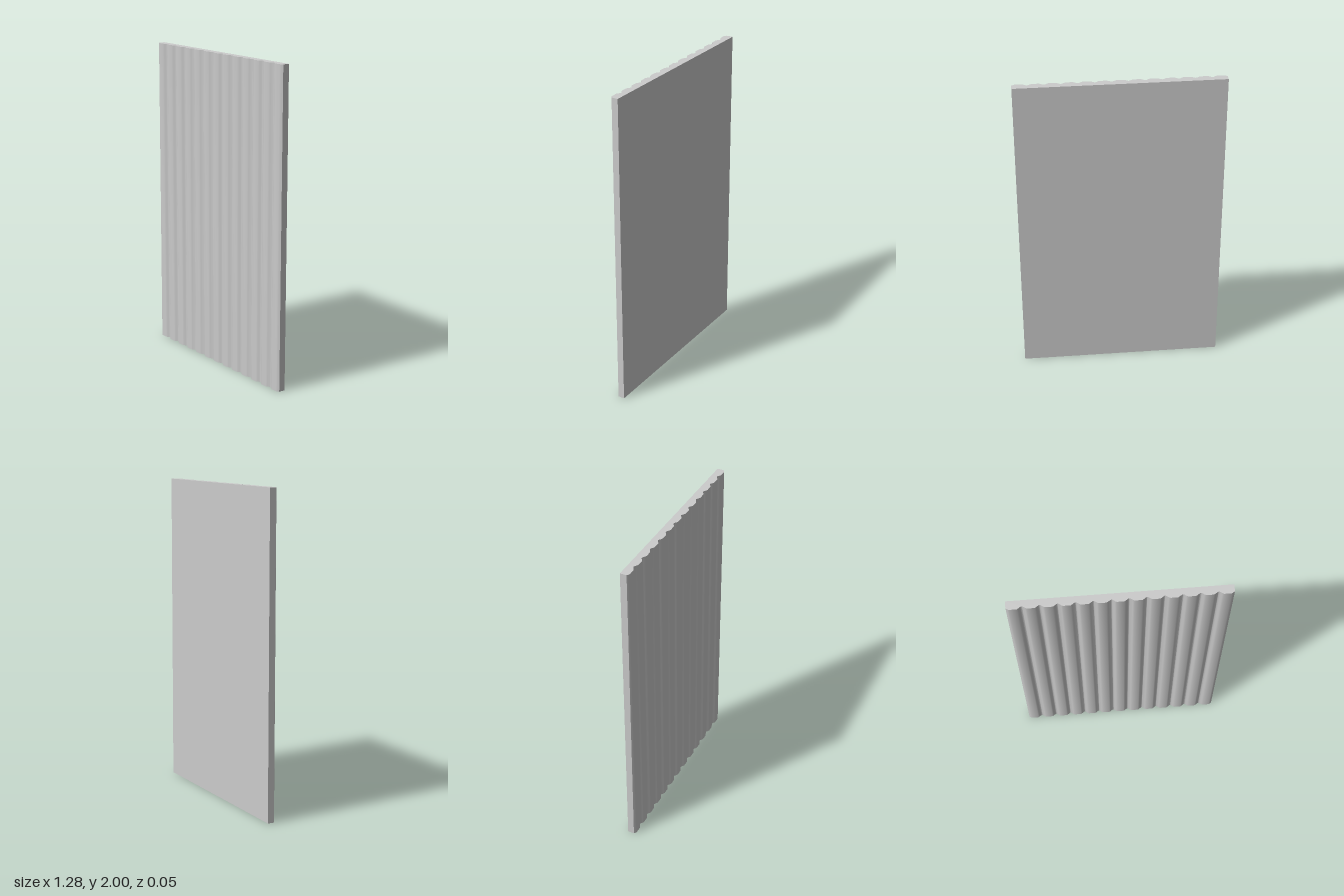
import * as THREE from 'three';
import { toCreasedNormals } from 'three/addons/utils/BufferGeometryUtils.js';

const HALF_WIDTH = 0.64, HEIGHT = 2, BACK = -0.0265, PITCH = 0.1;

// Half of one rib: [distance from the rib centre, z]
const RIB = [[0.022, 0.0265], [0.031, 0.0215], [0.04, 0.015], [0.046, 0.0115], [0.05, 0.0105]];

export function createModel() {
  const group = new THREE.Group();
  group.name = 'ribbedPanel';

  // Front outline from left to right: 13 ribs with shallow grooves between
  const front = [];
  for (let i = -6; i <= 6; i++) {
    const left = i === -6 ? RIB.slice(0, 3) : RIB.slice(0, 4);
    const right = i === 6 ? RIB.slice(0, 3) : RIB;
    for (const [d, z] of [...left].reverse()) front.push([i * PITCH - d, z]);
    for (const [d, z] of right) front.push([i * PITCH + d, z]);
  }

  // Cross-section drawn as (x, -z), then raised along y
  const section = new THREE.Shape([
    new THREE.Vector2(HALF_WIDTH, -BACK),
    new THREE.Vector2(-HALF_WIDTH, -BACK),
    ...front.map(([x, z]) => new THREE.Vector2(x, -z)),
  ]);
  const geometry = new THREE.ExtrudeGeometry(section, { depth: HEIGHT, bevelEnabled: false });
  geometry.rotateX(-Math.PI / 2);

  const panel = new THREE.Mesh(
    toCreasedNormals(geometry, THREE.MathUtils.degToRad(40)),
    new THREE.MeshStandardMaterial({ color: 0xcccccc })
  );
  panel.name = 'panel';
  group.add(panel);
  return group;
}
